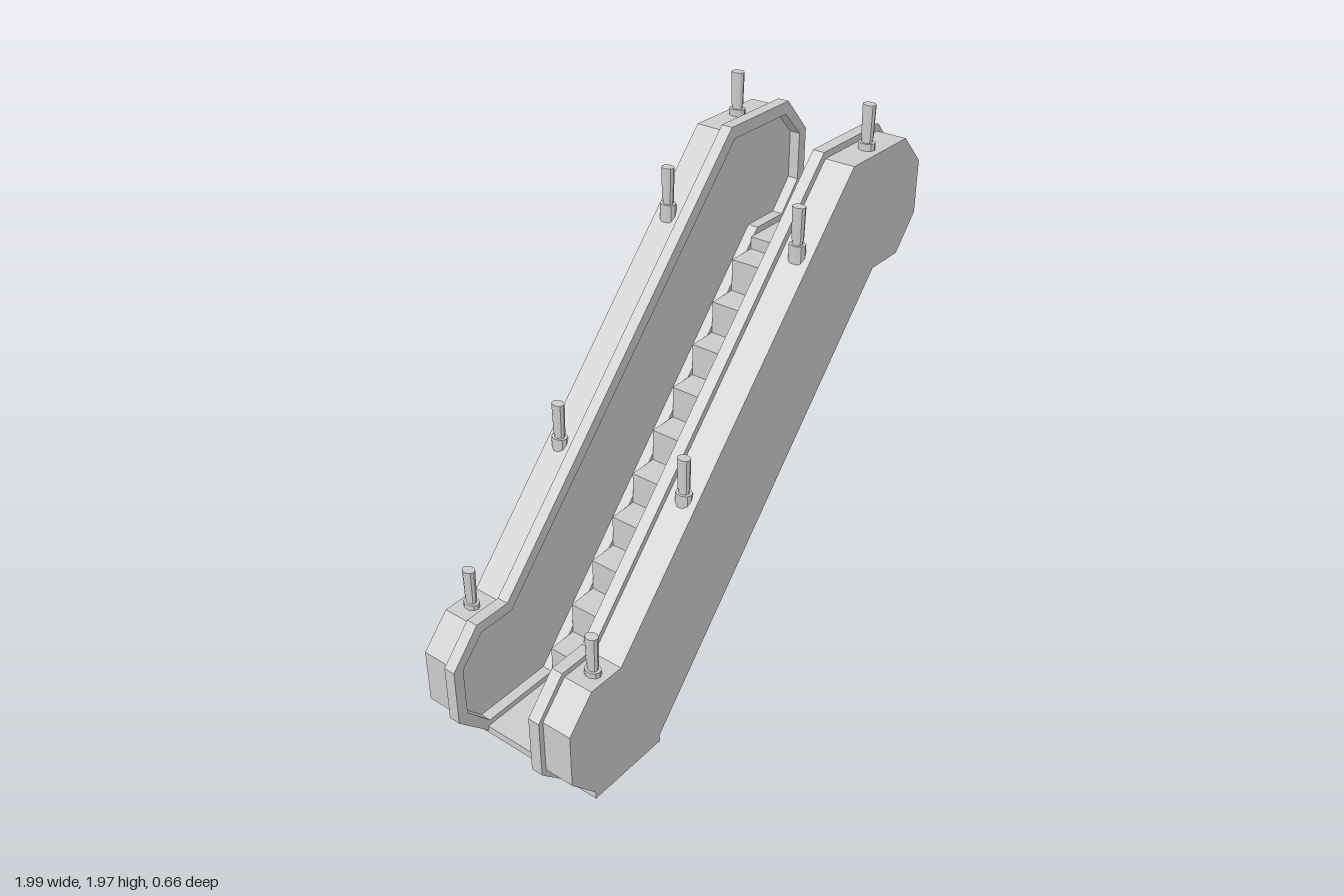
import * as THREE from 'three';

const material = new THREE.MeshStandardMaterial({ color: 0xcccccc, flatShading: true });

// Side outline of a balustrade housing, counter-clockwise from the foot
const housing = [
  [-0.53, 0.03], [0.70, 1.365], [0.86, 1.365], [0.97, 1.49], [0.97, 1.69], [0.86, 1.805],
  [0.525, 1.805], [-0.725, 0.475], [-0.87, 0.475], [-0.98, 0.36], [-0.98, 0.15], [-0.87, 0.03],
];
// Handrail outline: wider than the housing except along the underside
const railOuter = [
  [-0.53, 0.03], [0.70, 1.365], [0.86, 1.355], [0.99, 1.475], [0.99, 1.69], [0.865, 1.83],
  [0.515, 1.83], [-0.733, 0.495], [-0.88, 0.495], [-1.0, 0.365], [-1.0, 0.14], [-0.87, 0.01],
];

// Moves every edge of a counter-clockwise outline inward by d
function inset(points, d) {
  const n = points.length;
  return points.map((p, i) => {
    const a = points[(i + n - 1) % n], b = points[(i + 1) % n];
    const u = new THREE.Vector2(p[0] - a[0], p[1] - a[1]).normalize();
    const v = new THREE.Vector2(b[0] - p[0], b[1] - p[1]).normalize();
    const k = d / (1 + u.dot(v));
    return [p[0] - (u.y + v.y) * k, p[1] + (u.x + v.x) * k];
  });
}

const vectors = (points) => points.map(([x, y]) => new THREE.Vector2(x, y));

function slab(name, points, z0, z1, hole) {
  const shape = new THREE.Shape(vectors(points));
  if (hole) shape.holes.push(new THREE.Path(vectors(hole)));
  const geometry = new THREE.ExtrudeGeometry(shape, { depth: z1 - z0, bevelEnabled: false });
  geometry.translate(0, 0, z0);
  const mesh = new THREE.Mesh(geometry, material);
  mesh.name = name;
  return mesh;
}

function cylinder(name, rTop, rBottom, y0, y1) {
  const geometry = new THREE.CylinderGeometry(rTop, rBottom, y1 - y0, 10);
  geometry.translate(0, (y0 + y1) / 2, 0);
  const mesh = new THREE.Mesh(geometry, material);
  mesh.name = name;
  return mesh;
}

// Small post: collar, short neck and stem
function makePost(x, top, z) {
  const post = new THREE.Group();
  post.name = 'post';
  post.add(
    cylinder('postCollar', 0.025, 0.025, top - 0.2, top - 0.135),
    cylinder('postNeck', 0.016, 0.016, top - 0.135, top - 0.115),
    cylinder('postStem', 0.02, 0.018, top - 0.12, top),
  );
  post.position.set(x, 0, z);
  post.scale.z = 1.25;
  return post;
}

export function createModel() {
  const model = new THREE.Group();
  model.name = 'escalator';

  // Stair flight with its sloped underside and the two landings
  const flight = [[-0.87, 0], [-0.53, 0], [0.71, 1.34], [0.86, 1.34], [0.86, 1.362], [0.652, 1.362]];
  const run = 0.1187, rise = 0.1283;
  for (let k = 9; k >= 0; k--) {
    const x = -0.535 + run * k, y = 0.03 + rise * k;
    flight.push([x + run, y + rise], [x, y + rise]);
  }
  flight.push([-0.535, 0.03], [-0.87, 0.03]);
  model.add(slab('steps', flight, -0.17, 0.17));

  // Foot plate under the whole width
  const foot = [[-0.87, 0], [-0.53, 0], [-0.53, 0.03], [-0.87, 0.03]];
  model.add(slab('leftFootPlate', foot, 0.17, 0.33), slab('rightFootPlate', foot, -0.33, -0.17));

  // Balustrades, each with a handrail loop around its inner edge
  const railHole = inset(housing, 0.022);
  for (const [side, s] of [['left', 1], ['right', -1]]) {
    const span = (a, b) => (s > 0 ? [a, b] : [-b, -a]);
    const balustrade = new THREE.Group();
    balustrade.name = side + 'Balustrade';
    balustrade.add(
      slab('housing', housing, ...span(0.212, 0.33)),
      slab('handrail', railOuter, ...span(0.17, 0.215), railHole),
    );
    for (const [x, top] of [[-0.8, 0.63], [-0.325, 1.06], [0.285, 1.73], [0.69, 1.965]]) {
      balustrade.add(makePost(x, top, s * 0.275));
    }
    model.add(balustrade);
  }
  return model;
}
